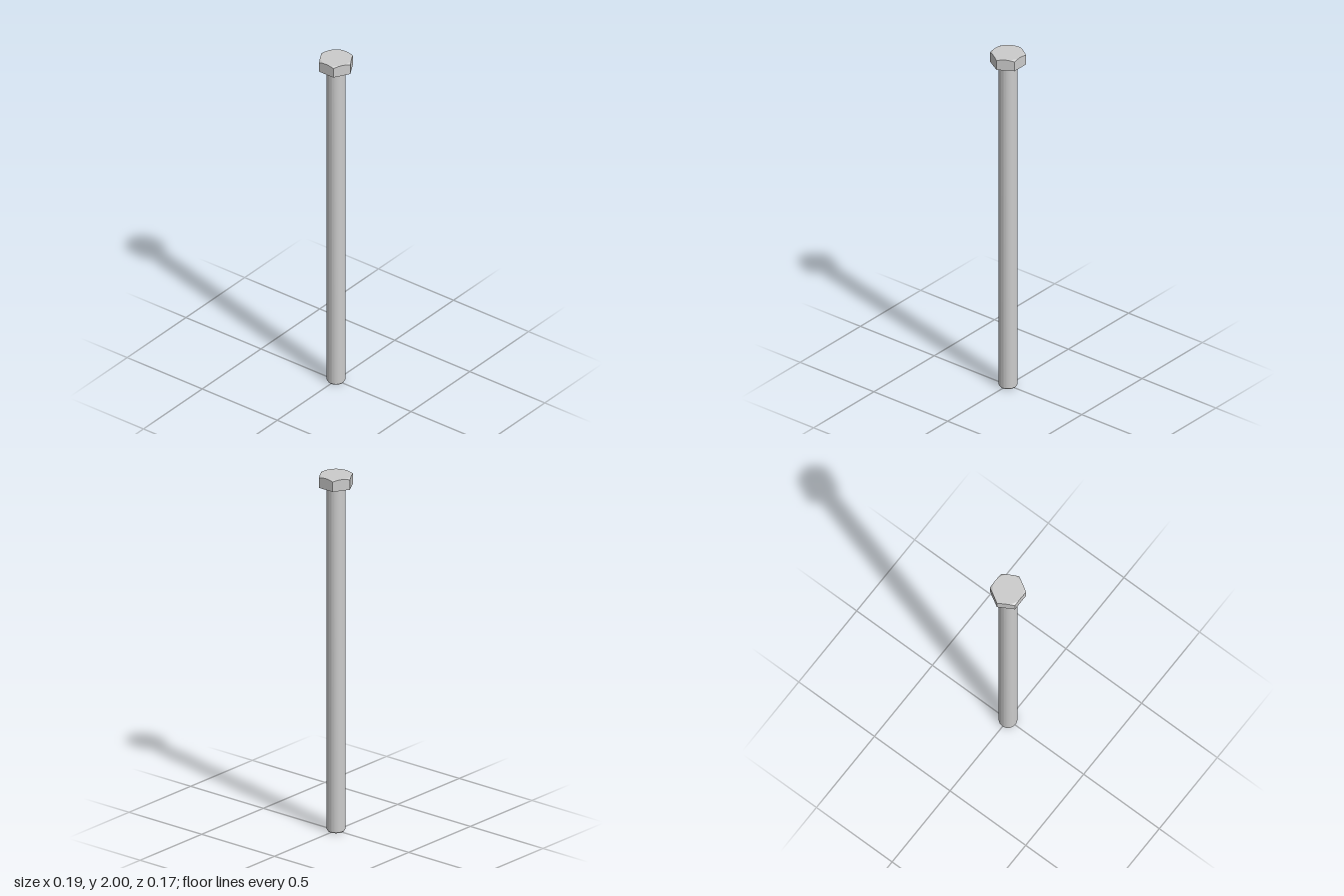
import * as THREE from 'three';
import { toCreasedNormals } from 'three/addons/utils/BufferGeometryUtils.js';

const APOTHEM = 0.083; // half the width across the head's flats
const HEAD_BASE = 1.937;
const TOP = 2;

const turn = (points, segments) =>
  new THREE.LatheGeometry(points.map(([r, y]) => new THREE.Vector2(r, y)), segments);

// Hexagonal head: the outer rings of a disc are pushed out to a hexagon,
// and the top corners are cut by a shallow 30 degree cone.
function headGeometry() {
  const outer = 1;
  const geometry = turn(
    [[0, HEAD_BASE], [outer, HEAD_BASE], [outer, TOP], [APOTHEM - 0.0005, TOP], [0, TOP]], 72);
  const p = geometry.attributes.position;
  const step = Math.PI / 3;
  for (let i = 0; i < p.count; i++) {
    const x = p.getX(i), z = p.getZ(i);
    if (Math.hypot(x, z) < 0.5) continue;
    const angle = Math.atan2(x, z);
    const r = APOTHEM / Math.cos(angle - Math.round(angle / step) * step);
    const y = p.getY(i) === TOP ? TOP - (r - APOTHEM + 0.0005) * Math.tan(Math.PI / 6) : HEAD_BASE;
    p.setXYZ(i, r * Math.sin(angle), y, r * Math.cos(angle));
  }
  return toCreasedNormals(geometry, 0.35);
}

export function createModel() {
  const group = new THREE.Group();
  group.name = 'hexBolt';
  const material = new THREE.MeshStandardMaterial({ color: 0xcccccc });
  const add = (name, geometry) => {
    const mesh = new THREE.Mesh(geometry, material);
    mesh.name = name;
    group.add(mesh);
  };

  add('head', headGeometry());

  // Plain round shank with a chamfered tip
  add('shank', toCreasedNormals(
    turn([[0, 0], [0.043, 0], [0.049, 0.009], [0.049, HEAD_BASE]], 48), 0.35));

  return group;
}
